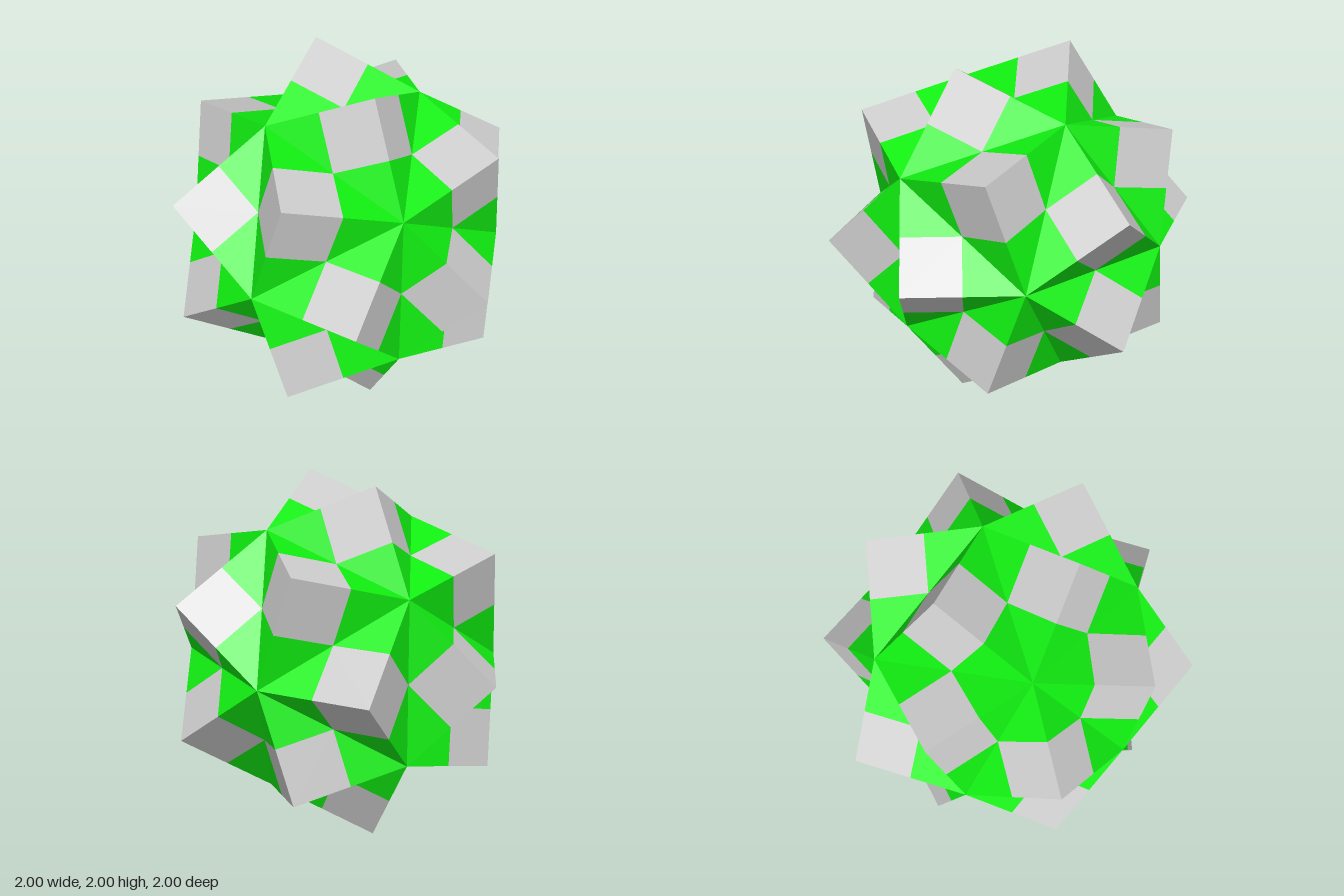
import * as THREE from 'three';

const PHI = (1 + Math.sqrt(5)) / 2;
const A = 0.4598;         // half the edge of the icosahedral core
const TIP_RADIUS = 1.0705; // distance of each corner tip from the centre

// The 12 core corners: three crossed golden rectangles
function coreCorners() {
  const points = [];
  for (const s of [-A, A]) {
    for (const t of [-A * PHI, A * PHI]) {
      points.push(new THREE.Vector3(s, t, 0), new THREE.Vector3(0, s, t), new THREE.Vector3(t, 0, s));
    }
  }
  return points;
}

// The 20 core triangles, wound to face outward
function coreFaces(points) {
  const faces = [];
  const near = (p, q) => p.distanceTo(q) < 2.1 * A;
  for (let i = 0; i < 12; i++) {
    for (let j = i + 1; j < 12; j++) {
      for (let k = j + 1; k < 12; k++) {
        const [a, b, c] = [points[i], points[j], points[k]];
        if (!near(a, b) || !near(b, c) || !near(a, c)) continue;
        const outward = b.clone().sub(a).cross(c.clone().sub(a)).dot(a) > 0;
        faces.push(outward ? [a, b, c] : [a, c, b]);
      }
    }
  }
  return faces;
}

function flatMesh(points, material, name) {
  const geometry = new THREE.BufferGeometry().setFromPoints(points);
  geometry.computeVertexNormals();
  const mesh = new THREE.Mesh(geometry, material);
  mesh.name = name;
  return mesh;
}

export function createModel() {
  const model = new THREE.Group();
  model.name = 'starPolyhedron';
  const grey = new THREE.MeshStandardMaterial({ color: 0xcccccc, flatShading: true });
  const green = new THREE.MeshStandardMaterial({ color: 0x11ee11, flatShading: true });
  const middle = (p, q) => p.clone().lerp(q, 0.5);

  // A cube corner on every core triangle
  for (const face of coreFaces(coreCorners())) {
    const tip = new THREE.Vector3();
    face.forEach((p) => tip.add(p));
    tip.setLength(TIP_RADIUS);

    const squares = [];
    const triangles = [];
    for (let i = 0; i < 3; i++) {
      const a = face[i];
      const b = face[(i + 1) % 3];
      const ma = middle(a, tip);
      const mb = middle(b, tip);
      const base = middle(a, b);
      squares.push(tip, ma, base, tip, base, mb); // square at the tip
      triangles.push(ma, a, base, mb, base, b);   // triangles beside it
    }
    const corner = new THREE.Group();
    corner.name = 'corner';
    corner.add(flatMesh(squares, grey, 'cornerSquares'), flatMesh(triangles, green, 'cornerTriangles'));
    corner.position.y = 1;
    model.add(corner);
  }
  return model;
}
